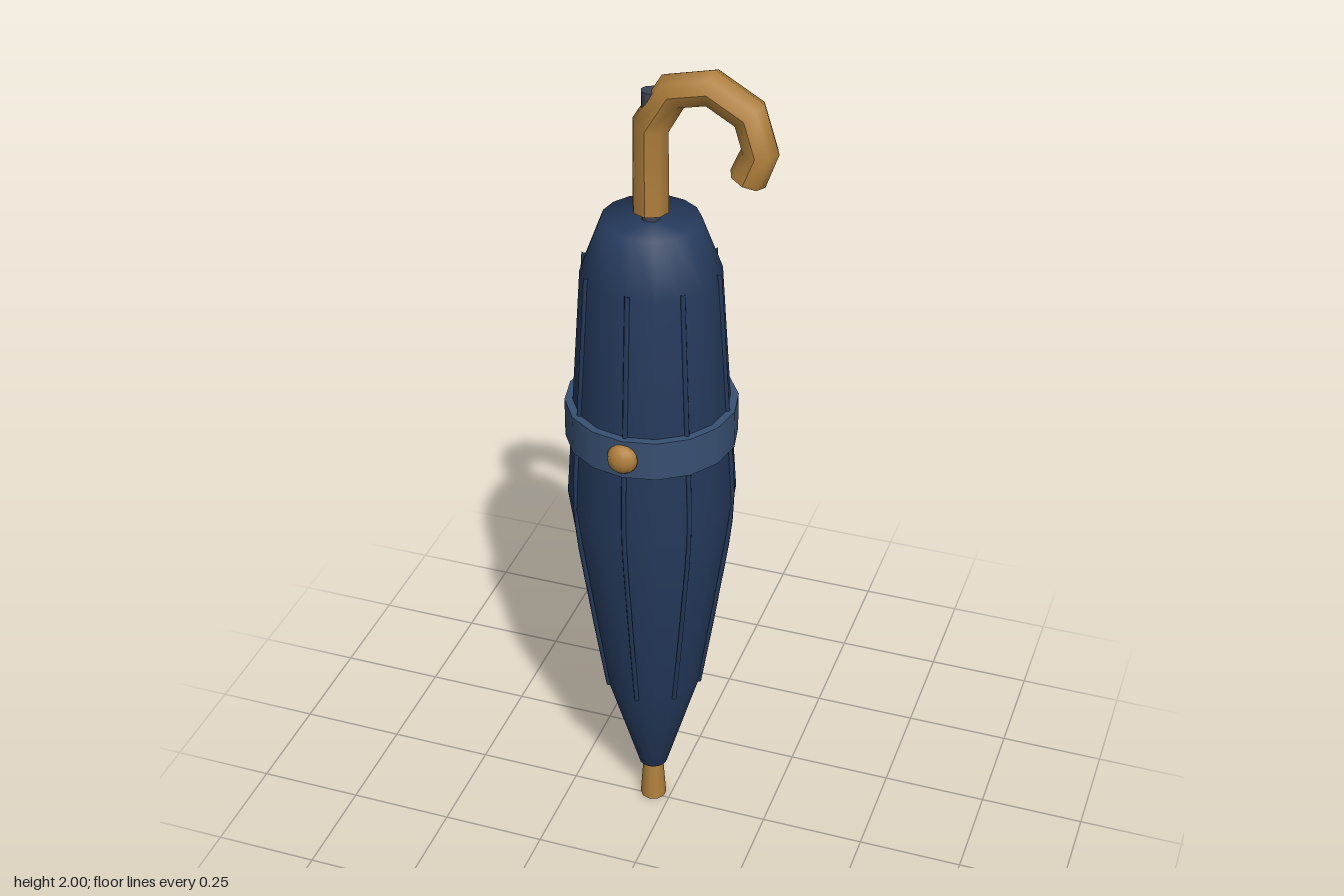
import * as THREE from 'three';

const mat = (color) => new THREE.MeshStandardMaterial({ color });
const fabric = mat(0x253a5c), strap = mat(0x385072), metal = mat(0x3c4658), wood = mat(0xb0803c);

export function createModel() {
  const model = new THREE.Group();
  model.name = 'umbrella';
  // the shaft axis sits off centre because of the hook
  model.position.set(-0.045, 0, -0.012);

  const add = (name, geometry, material, x = 0, y = 0, z = 0) => {
    const mesh = new THREE.Mesh(geometry, material);
    mesh.name = name;
    mesh.position.set(x, y, z);
    model.add(mesh);
    return mesh;
  };

  // furled canopy, closed at both ends
  const profile = [[0, 0.11], [0.035, 0.11], [0.12, 0.4], [0.195, 0.93], [0.157, 1.51], [0.11, 1.635], [0, 1.635]];
  add('canopy', new THREE.LatheGeometry(profile.map(([r, y]) => new THREE.Vector2(r, y)), 16), fabric);

  // eight thin ribs following the canopy
  const ribPath = new THREE.CatmullRomCurve3(
    [[0.118, 0.39], [0.16, 0.66], [0.193, 0.93], [0.176, 1.22], [0.156, 1.525]].map(([r, y]) => new THREE.Vector3(0, y, r)));
  const ribGeometry = new THREE.TubeGeometry(ribPath, 16, 0.006, 6);
  for (let i = 0; i < 8; i++) add('rib', ribGeometry, fabric).rotation.y = i * Math.PI / 4;

  // closing strap and its button
  add('strap', new THREE.CylinderGeometry(0.197, 0.197, 0.095, 16), strap, 0, 1.133);
  add('button', new THREE.SphereGeometry(0.036, 10, 8), wood, 0, 1.135, 0.197).scale.z = 0.7;

  // shaft, its top just breaking through the bend of the handle
  add('shaft', new THREE.CylinderGeometry(0.021, 0.021, 1.84, 8), metal, 0, 1.015);

  // ferrule at the foot
  add('ferrule', new THREE.CylinderGeometry(0.024, 0.032, 0.115, 10), wood, 0, 0.0575);

  // hooked handle: a cylinder whose rows are bent along a path
  const path = [[0, 1.655], [0, 1.855], [0.05, 1.94], [0.135, 1.96], [0.217, 1.913], [0.242, 1.832], [0.216, 1.765]]
    .map(([x, y]) => new THREE.Vector2(x, y));
  const rows = path.length - 1;
  const hook = new THREE.CylinderGeometry(0.0415, 0.0415, rows, 8, rows);
  const pos = hook.attributes.position;
  for (let i = 0; i < pos.count; i++) {
    const k = Math.round(pos.getY(i) + rows / 2);
    const before = path[Math.max(k - 1, 0)], here = path[k], after = path[Math.min(k + 1, rows)];
    const a = here.clone().sub(before).normalize(), b = after.clone().sub(here).normalize();
    const dir = a.add(b).normalize();
    const side = pos.getX(i);
    pos.setXYZ(i, here.x + dir.y * side, here.y - dir.x * side, pos.getZ(i));
  }
  hook.computeVertexNormals();
  add('handle', hook, wood);

  const root = new THREE.Group();
  root.add(model);
  return root;
}
